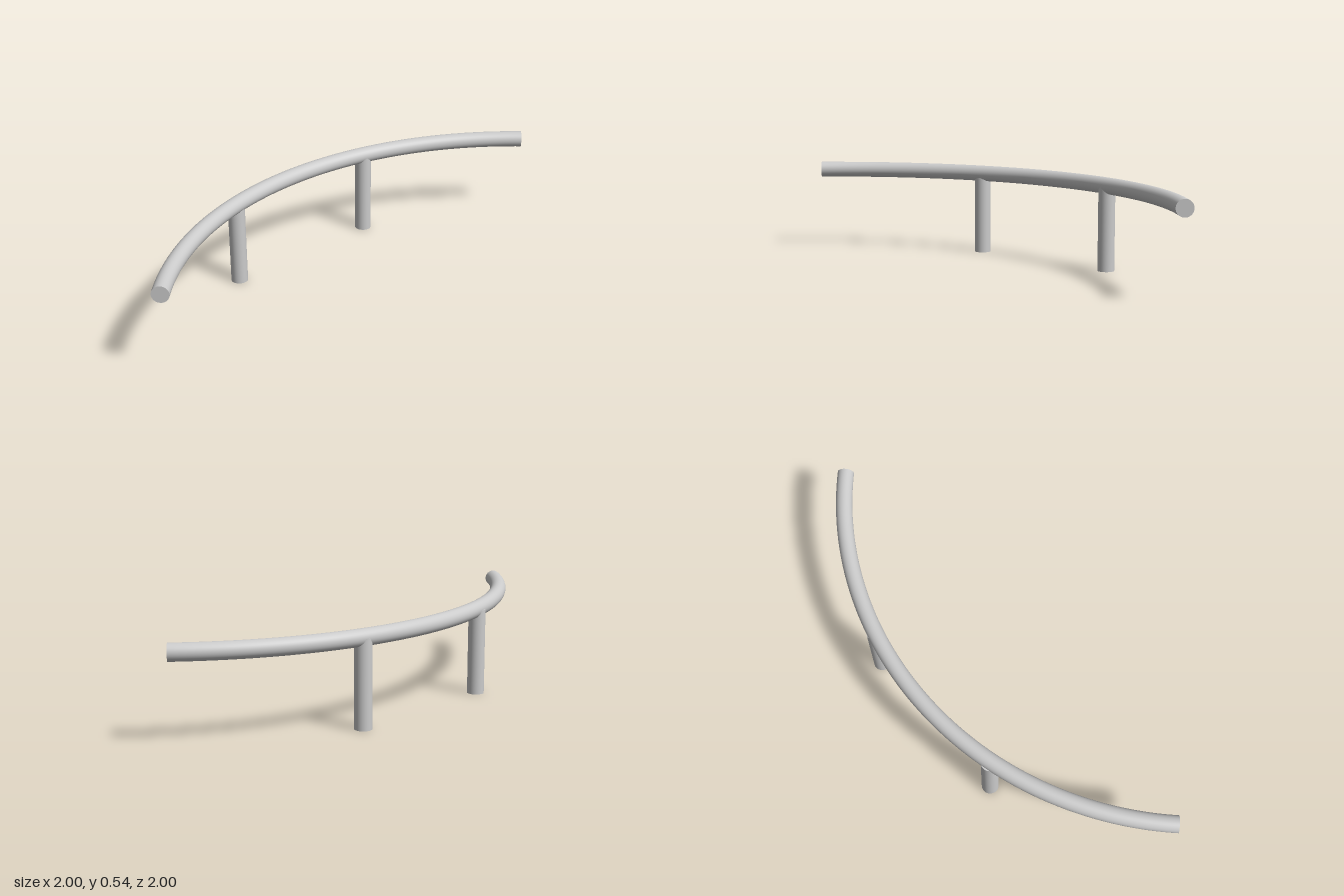
import * as THREE from 'three';

const RADIUS = 0.047; // rail thickness
const SWEEP = 2 - RADIUS; // radius of the curved centreline
const RAIL_Y = 0.488;

export function createModel() {
  const group = new THREE.Group();
  const material = new THREE.MeshStandardMaterial({ color: 0xcccccc });

  function add(name, geometry, x, y, z, parent = group) {
    const mesh = new THREE.Mesh(geometry, material);
    mesh.name = name;
    mesh.position.set(x, y, z);
    parent.add(mesh);
    return mesh;
  }

  // Quarter-circle rail, swept about the corner at x = 1, z = 1
  const rail = new THREE.Group();
  rail.name = 'rail';
  group.add(rail);
  const bar = new THREE.TorusGeometry(SWEEP, RADIUS, 32, 96, Math.PI / 2);
  bar.rotateZ(Math.PI).rotateX(Math.PI / 2);
  add('railBar', bar, 1, RAIL_Y, 1, rail);

  // Flat ends of the rail
  const cap = new THREE.CircleGeometry(RADIUS, 32);
  add('frontEndCap', cap, 1 - SWEEP, RAIL_Y, 1, rail);
  add('leftEndCap', cap, 1, RAIL_Y, 1 - SWEEP, rail).rotation.y = Math.PI / 2;

  // Upright posts, reaching the middle of the rail
  const post = new THREE.CylinderGeometry(0.048, 0.048, RAIL_Y, 32);
  add('backPost', post, 0.022, RAIL_Y / 2, -0.692);
  add('rightPost', post, -0.68, RAIL_Y / 2, -0.012);

  return group;
}
